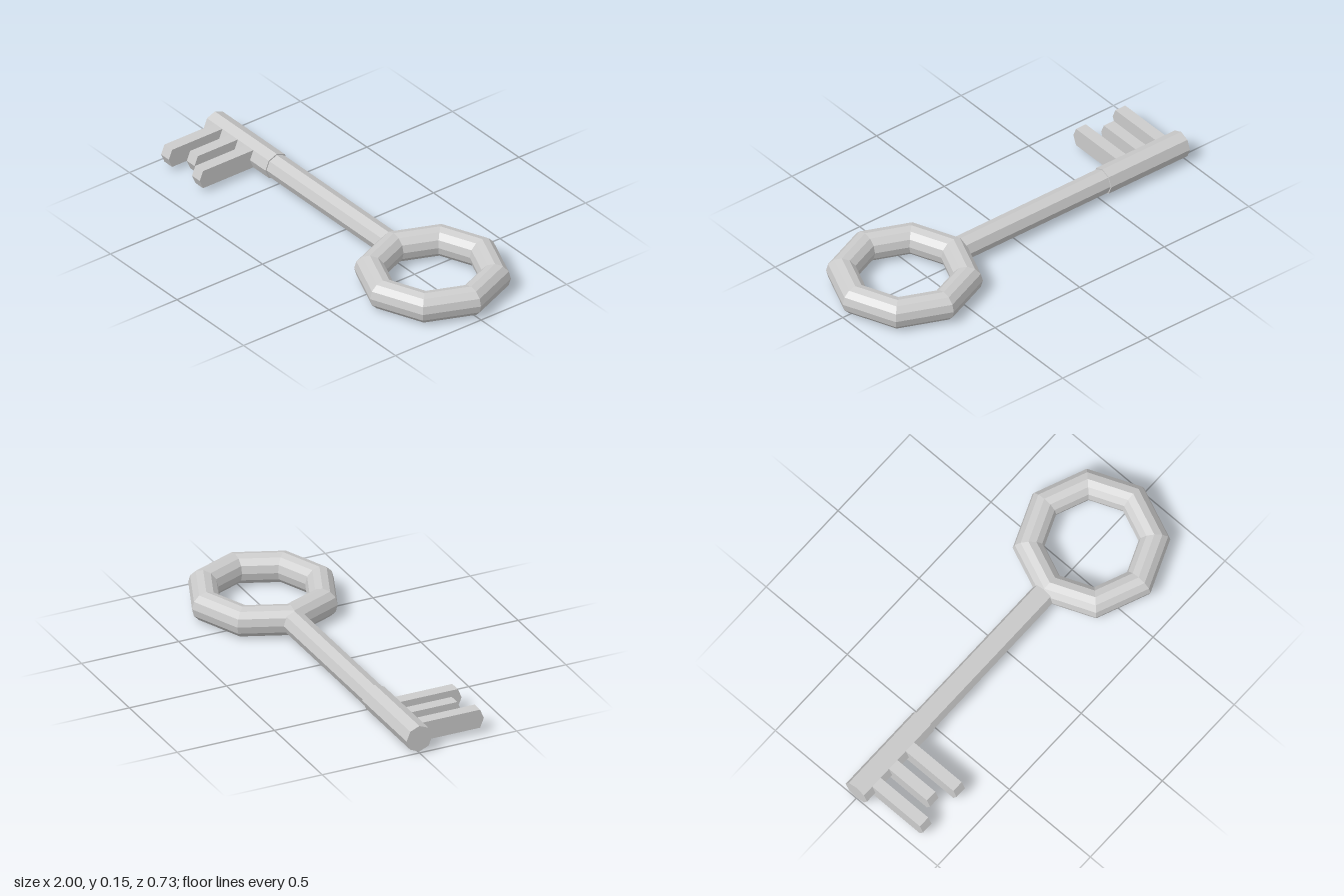
import * as THREE from 'three';

export function createModel() {
  const model = new THREE.Group();
  model.name = 'key';
  const material = new THREE.MeshStandardMaterial({ color: 0xcccccc, flatShading: true });
  const axisY = 0.0735;

  const add = (name, geometry, x) => {
    const mesh = new THREE.Mesh(geometry, material);
    mesh.name = name;
    mesh.position.set(x, axisY, 0);
    model.add(mesh);
  };

  // Eight-sided rod lying along x, from x0 to x1
  const rod = (name, radius, x0, x1) =>
    add(name, new THREE.CylinderGeometry(radius, radius, x1 - x0, 8).rotateZ(Math.PI / 2), (x0 + x1) / 2);

  // Octagonal ring handle, lying flat
  add('bow', new THREE.TorusGeometry(0.291, 0.0735, 12, 8).rotateX(Math.PI / 2), 0.6355);

  // Shaft runs into the ring; thicker collar carries the teeth
  const collarR = 0.066, collarEnd = -0.535;
  rod('shaft', 0.06, collarEnd - 0.02, 0.34);
  rod('collar', collarR, -1, collarEnd);

  // Teeth: continue the collar's two front faces out to a shallow wedge tip
  const step = (collarEnd + 1) / 8;
  const half = collarR * Math.SQRT1_2;
  [0.36, 0.3, 0.36].forEach((tip, i) => {
    const shoulder = tip - (collarR - half);
    const profile = new THREE.Shape([
      new THREE.Vector2(0.02, -half),
      new THREE.Vector2(shoulder, -half),
      new THREE.Vector2(tip, 0),
      new THREE.Vector2(shoulder, half),
      new THREE.Vector2(0.02, half),
    ]);
    const tooth = new THREE.ExtrudeGeometry(profile, { depth: step, bevelEnabled: false });
    add(`tooth${i + 1}`, tooth.rotateY(-Math.PI / 2), -1 + step * (2 * i + 2));
  });

  return model;
}
